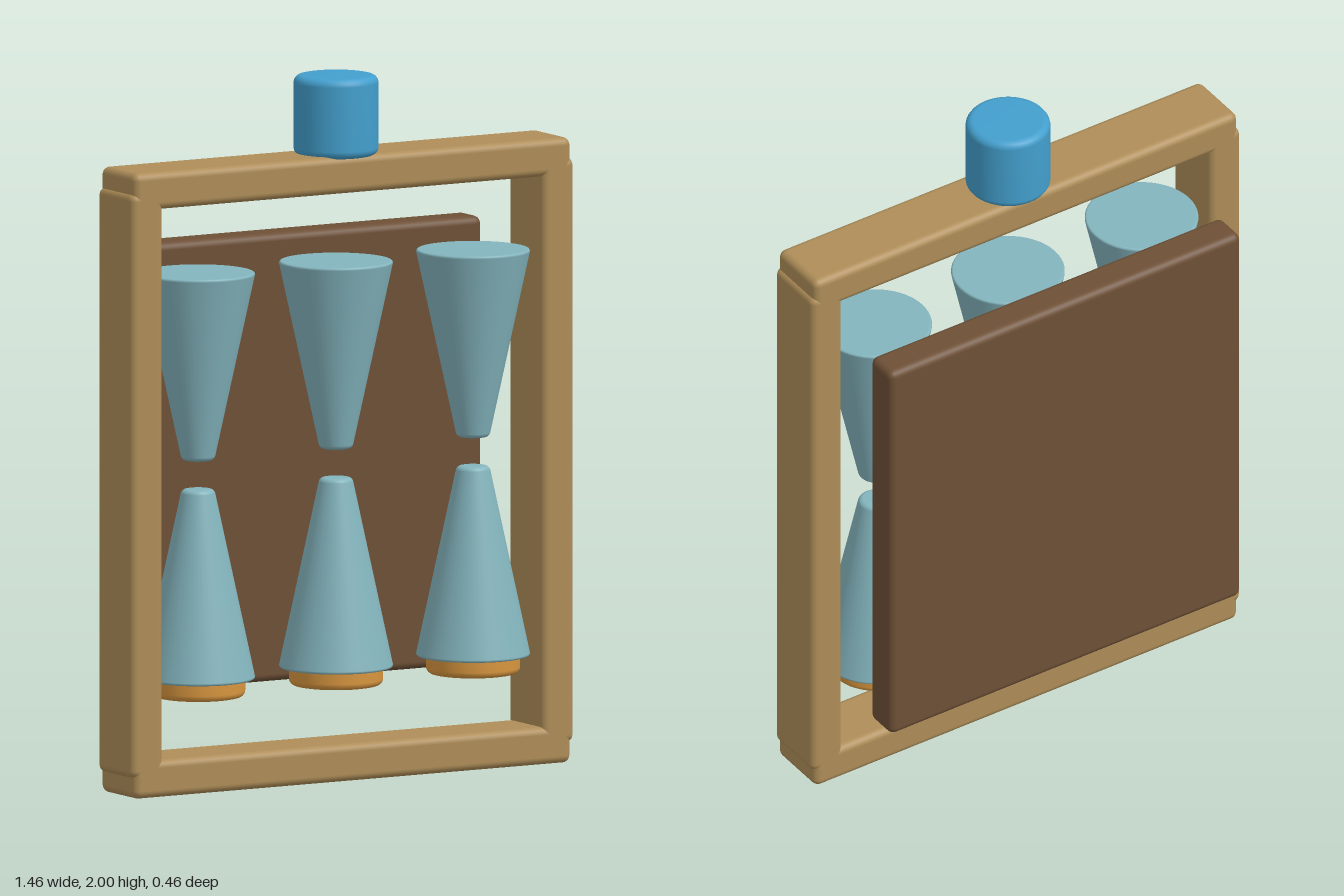
import * as THREE from 'three';
import { RoundedBoxGeometry } from 'three/addons/geometries/RoundedBoxGeometry.js';

const mat = (name, color) => {
  const m = new THREE.MeshStandardMaterial({ color });
  m.name = name;
  return m;
};

// Solid of revolution with small rounded rims; r0 at the bottom, r1 at the top
function roundedCone(r0, r1, h, b0, b1) {
  const pts = [new THREE.Vector2(0, 0)];
  const steps = 4;
  const slope = (r1 - r0) / h;
  for (let i = 0; i <= steps; i++) {
    const a = (i / steps) * Math.PI / 2;
    const y = b0 * (1 - Math.cos(a));
    pts.push(new THREE.Vector2(r0 + slope * y - b0 * (1 - Math.sin(a)), y));
  }
  for (let i = 0; i <= steps; i++) {
    const a = (i / steps) * Math.PI / 2;
    const y = h - b1 * (1 - Math.sin(a));
    pts.push(new THREE.Vector2(r1 - slope * (h - y) - b1 * (1 - Math.cos(a)), y));
  }
  pts.push(new THREE.Vector2(0, h));
  return new THREE.LatheGeometry(pts, 48);
}

export function createModel() {
  const model = new THREE.Group();
  model.name = 'hourglassFrame';
  const wood = mat('light wood', 0xae8d58);
  const darkWood = mat('dark wood', 0x6e5036);
  const glass = mat('pale teal', 0x84b5be);
  const blue = mat('blue', 0x439fcd);
  const amber = mat('amber', 0xd8963f);
  const Z = 0.066;

  const add = (name, geometry, material, x, y, z) => {
    const mesh = new THREE.Mesh(geometry, material);
    mesh.name = name;
    mesh.position.set(x, y, z);
    model.add(mesh);
  };

  // Frame: two rails and two posts
  const rail = new RoundedBoxGeometry(1.435, 0.107, 0.195, 3, 0.022);
  add('bottomRail', rail, wood, 0, 0.0535, Z);
  add('topRail', rail, wood, 0, 1.7265, Z);
  const post = new RoundedBoxGeometry(0.105, 1.665, 0.195, 3, 0.022);
  add('leftPost', post, wood, 0.675, 0.89, Z);
  add('rightPost', post, wood, -0.675, 0.89, Z);

  // Board behind the frame
  add('backBoard', new RoundedBoxGeometry(1.19, 1.275, 0.108, 3, 0.022), darkWood, 0, 0.893, -0.176);

  // Knob on top
  add('knob', roundedCone(0.12, 0.12, 0.228, 0.022, 0.022), blue, 0, 1.772, Z);

  // Three hourglasses: two facing cones and a base disc each
  const lower = roundedCone(0.162, 0.046, 0.54, 0.008, 0.012);
  const upper = roundedCone(0.046, 0.162, 0.535, 0.012, 0.008);
  const disc = roundedCone(0.133, 0.133, 0.065, 0.018, 0.005);
  for (const x of [-0.453, 0, 0.45]) {
    add('lowerCone', lower, glass, x, 0.314, Z);
    add('upperCone', upper, glass, x, 0.936, Z);
    add('baseDisc', disc, amber, x, 0.264, Z);
  }
  return model;
}
